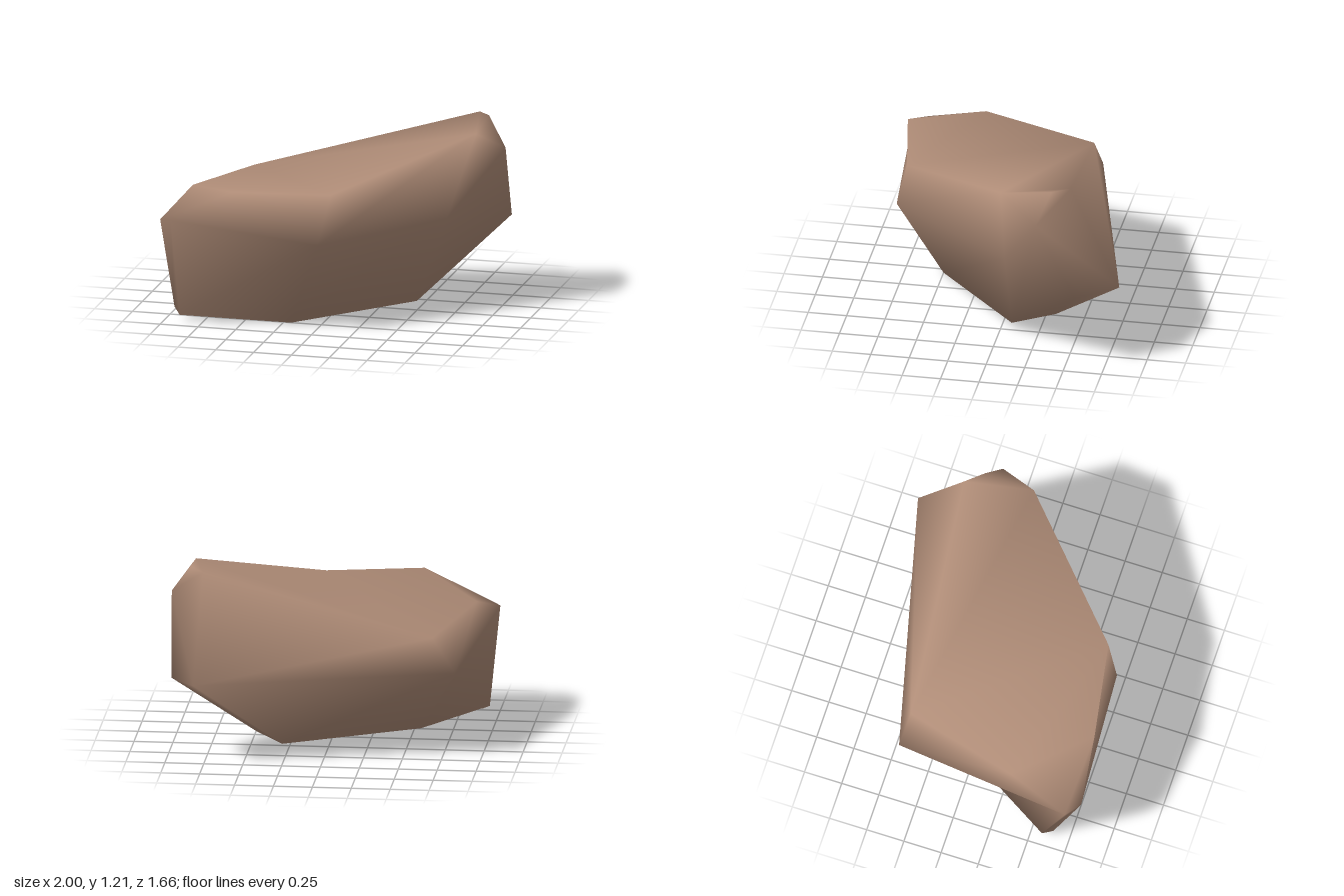
import * as THREE from 'three';

// Three rings of corners around the boulder, from the left front corner
// across the front, right and back.
const foot = [
  [-0.95, 0.08, 0.58], [-0.9, 0.045, 0.64], [-0.2, 0.005, 0.5], [0.48, 0.045, -0.07],
  [0.975, 0.52, -0.57], [0.29, 0.035, -0.32], [-0.575, 0.09, -0.05],
];
const belt = [
  [-1, 0.7, 0.75], [-0.91, 0.72, 0.83], [0.04, 0.6, 0.76], [0.68, 0.61, -0.06],
  [1, 1.03, -0.32], [0.81, 0.54, -0.83], [-0.83, 0.56, -0.42],
];
const rim = [
  [-0.89, 0.83, 0.35], [-0.51, 0.925, 0.79], [0.11, 0.92, 0.68], [0.87, 1.18, -0.07],
  [0.87, 1.215, -0.4], [0.78, 1.205, -0.51], [-0.68, 0.78, -0.39],
];

function boulderGeometry() {
  const n = rim.length;
  const index = [];

  // walls between neighbouring rings
  for (let ring = 0; ring < 2; ring++) {
    for (let i = 0; i < n; i++) {
      const a = ring * n + i;
      const b = ring * n + (i + 1) % n;
      // the right shoulder folds along the other diagonal to stay convex
      if (ring === 1 && i === 3) index.push(a, b, a + n, b, b + n, a + n);
      else index.push(a, b, b + n, a, b + n, a + n);
    }
  }

  // underside
  for (const t of [[0, 2, 1], [0, 6, 2], [2, 6, 3], [6, 5, 3], [3, 5, 4]]) index.push(...t);

  // top, with a shallow valley from the right front to the left back
  for (const t of [[0, 1, 2], [0, 2, 6], [2, 3, 6], [3, 5, 6], [3, 4, 5]]) {
    index.push(...t.map((i) => i + 2 * n));
  }

  const geometry = new THREE.BufferGeometry();
  const points = [...foot, ...belt, ...rim].flat();
  geometry.setAttribute('position', new THREE.Float32BufferAttribute(points, 3));
  geometry.setIndex(index);
  geometry.computeVertexNormals(); // smooth, weathered surface
  return geometry;
}

export function createModel() {
  const group = new THREE.Group();
  group.name = 'rock';
  const stone = new THREE.MeshStandardMaterial({ color: 0xaf8c77 });
  stone.name = 'brown stone';
  const boulder = new THREE.Mesh(boulderGeometry(), stone);
  boulder.name = 'boulder';
  group.add(boulder);
  return group;
}
